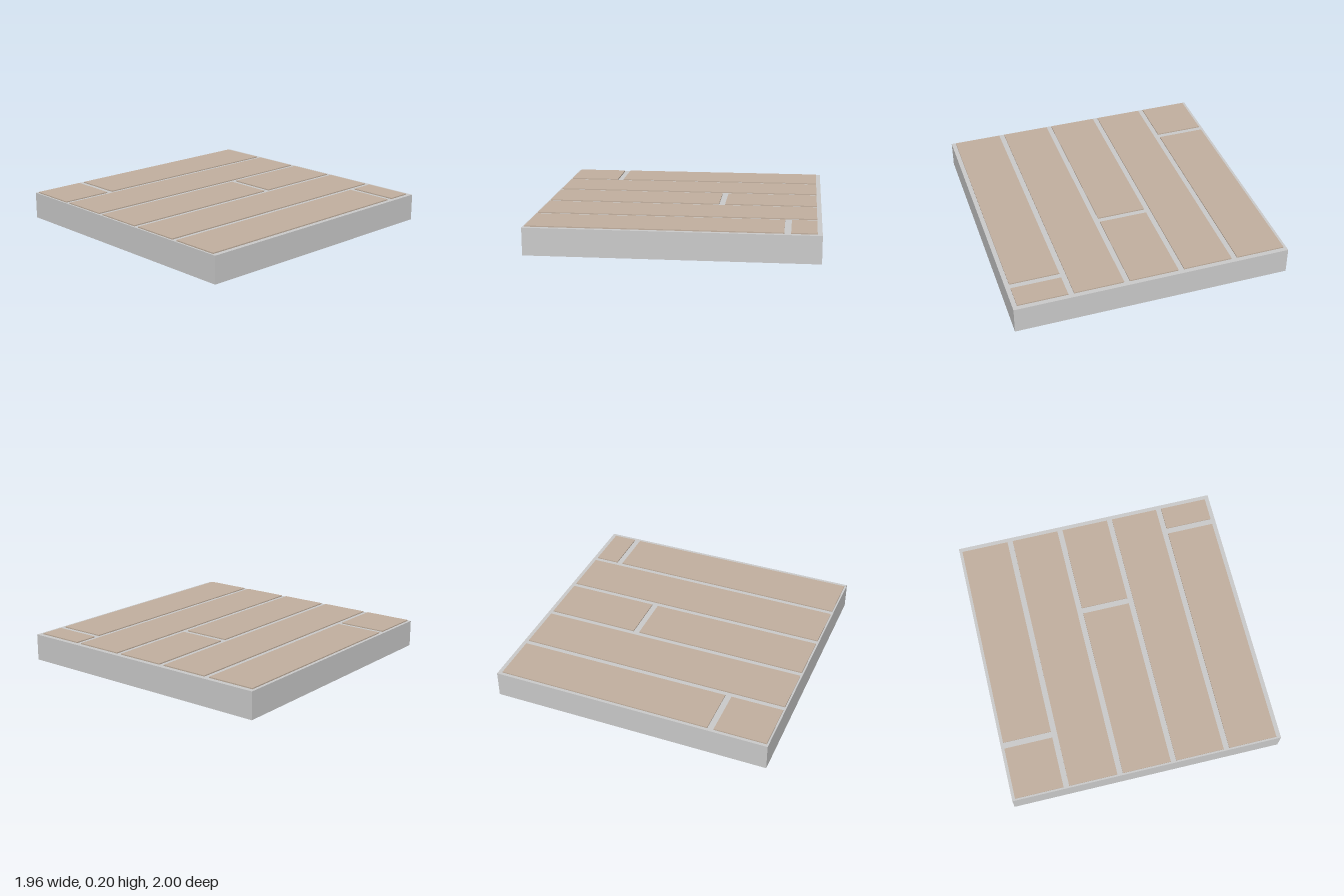
import * as THREE from 'three';

const BASE_TOP = 0.192, TOP = 0.2;
const PLANK_WIDTH = 0.35, PITCH = 0.39, FIRST_X = -0.785;
const BACK = -0.967, FRONT = 0.987, GAP = 0.045;

export function createModel() {
  const group = new THREE.Group();
  group.name = 'plankFloorTile';
  const baseMaterial = new THREE.MeshStandardMaterial({ color: 0xcccccc });
  const woodMaterial = new THREE.MeshStandardMaterial({ color: 0xc3b1a0 });

  // Solid slab under the planks
  const base = new THREE.Mesh(new THREE.BoxGeometry(1.964, BASE_TOP, 2), baseMaterial);
  base.name = 'baseSlab';
  base.position.y = BASE_TOP / 2;
  group.add(base);

  // One board between two z positions, sunk slightly into the slab
  const planks = new THREE.Group();
  planks.name = 'planks';
  group.add(planks);
  const sink = 0.01;
  const addPlank = (x, z0, z1) => {
    const height = TOP - BASE_TOP + sink;
    const plank = new THREE.Mesh(new THREE.BoxGeometry(PLANK_WIDTH, height, z1 - z0), woodMaterial);
    plank.name = 'plank';
    plank.position.set(x, TOP - height / 2, (z0 + z1) / 2);
    planks.add(plank);
  };

  // Five rows; a number marks where a row is cut into two boards
  const cuts = [0.594, null, -0.283, null, -0.772];
  cuts.forEach((cut, i) => {
    const x = FIRST_X + i * PITCH;
    if (cut === null) {
      addPlank(x, BACK, FRONT);
    } else {
      addPlank(x, BACK, cut - GAP / 2);
      addPlank(x, cut + GAP / 2, FRONT);
    }
  });

  return group;
}
